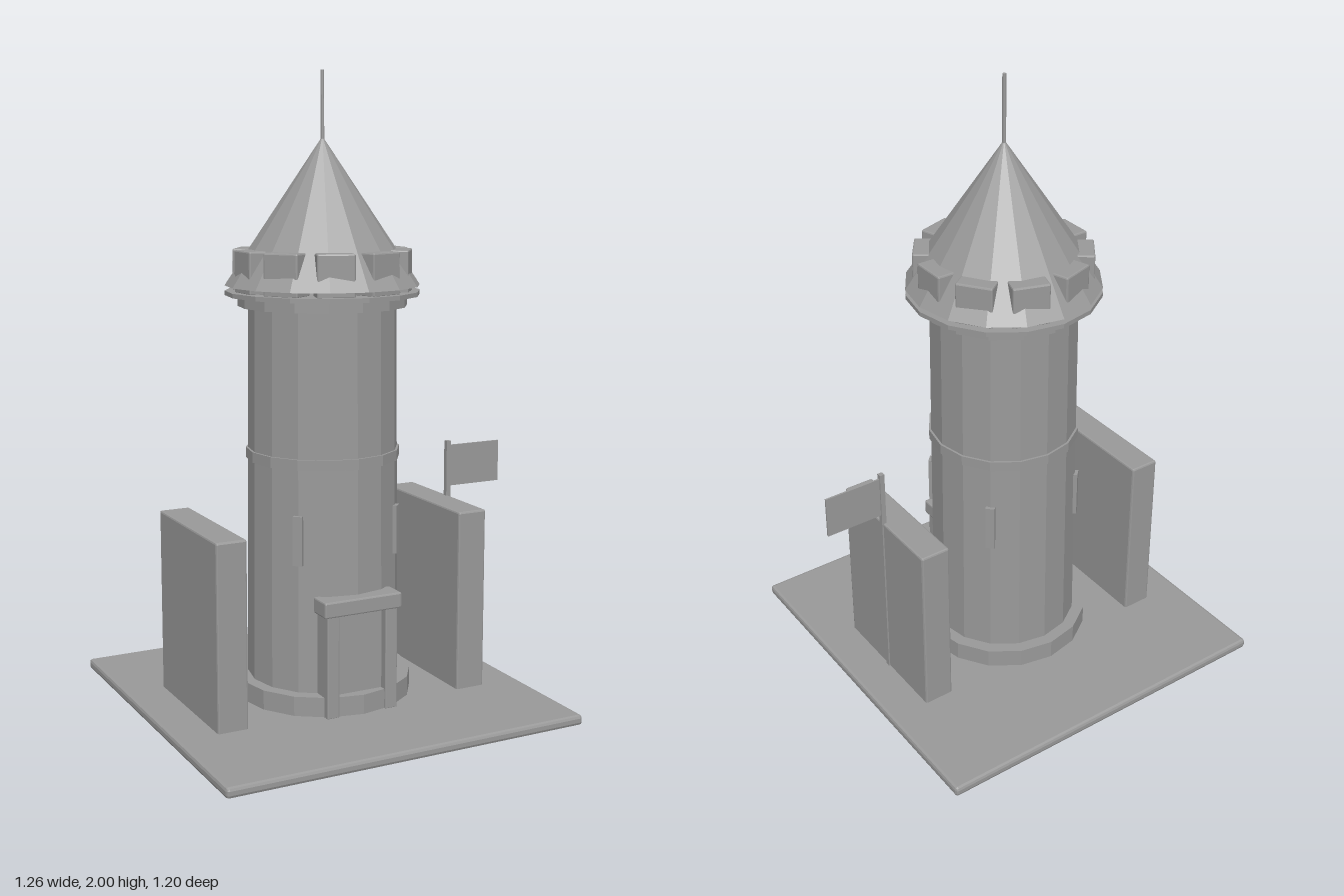
import * as THREE from 'three';
import { RoundedBoxGeometry } from 'three/addons/geometries/RoundedBoxGeometry.js';

export function createModel() {
  const model = new THREE.Group();
  model.name = 'watchtower';

  const stone = new THREE.MeshStandardMaterial({ color: 0x999999 });
  stone.name = 'grey stone';
  stone.flatShading = true;

  const add = (name, geometry, parent, x = 0, y = 0, z = 0) => {
    const mesh = new THREE.Mesh(geometry, stone);
    mesh.name = name;
    mesh.position.set(x, y, z);
    parent.add(mesh);
    return mesh;
  };
  // Box given by its extents along each axis, with an optional bevel
  const box = (name, parent, [x0, x1], [y0, y1], [z0, z1], bevel = 0) => {
    const size = [x1 - x0, y1 - y0, z1 - z0];
    const geometry = bevel ? new RoundedBoxGeometry(...size, 1, bevel) : new THREE.BoxGeometry(...size);
    return add(name, geometry, parent, (x0 + x1) / 2, (y0 + y1) / 2, (z0 + z1) / 2);
  };

  // Ground slab and the two side walls
  box('groundSlab', model, [-0.63, 0.565], [0, 0.033], [-0.6, 0.6], 0.01);
  box('rightWall', model, [-0.5, -0.4], [0.025, 0.62], [-0.232, 0.232], 0.006);
  box('leftWall', model, [0.335, 0.435], [0.025, 0.62], [-0.232, 0.232], 0.006);

  // Flag on the left wall
  box('flagPole', model, [0.424, 0.44], [0.03, 0.805], [-0.008, 0.008]);
  box('flag', model, [0.44, 0.63], [0.652, 0.79], [-0.003, 0.003]);

  // Round tower, stacked from sixteen-sided drums
  const tower = new THREE.Group();
  tower.name = 'tower';
  tower.position.x = -0.033;
  model.add(tower);
  const drum = (name, y0, y1, r0, r1 = r0, sides = 16) =>
    add(name, new THREE.CylinderGeometry(r1, r0, y1 - y0, sides), tower, 0, (y0 + y1) / 2, 0);

  drum('plinth', 0.03, 0.095, 0.283);
  drum('towerBody', 0.03, 1.29, 0.244, 0.233);
  drum('beltRing', 0.797, 0.83, 0.244);
  drum('collar', 1.278, 1.313, 0.266);
  drum('battlementDeck', 1.312, 1.326, 0.306);
  drum('roof', 1.342, 1.8, 0.306, 0);
  drum('spire', 1.78, 2, 0.006, 0.006, 8);

  // Ten merlons around the foot of the roof
  for (let i = 0; i < 10; i++) {
    const pivot = new THREE.Group();
    pivot.name = 'merlon';
    pivot.rotation.y = (i * Math.PI) / 5;
    tower.add(pivot);
    box('merlonBlock', pivot, [0.195, 0.275], [1.322, 1.455], [-0.058, 0.058], 0.005);
  }

  // Four arrow slits on the diagonals
  for (let i = 0; i < 4; i++) {
    const pivot = new THREE.Group();
    pivot.name = 'arrowSlit';
    pivot.rotation.y = Math.PI / 4 + (i * Math.PI) / 2;
    tower.add(pivot);
    box('slitPanel', pivot, [-0.015, 0.015], [0.5, 0.655], [0.225, 0.249]);
  }

  // Doorway with posts and lintel
  const doorway = new THREE.Group();
  doorway.name = 'doorway';
  tower.add(doorway);
  box('door', doorway, [-0.08, 0.08], [0.03, 0.345], [0.2, 0.247]);
  for (const side of [-1, 1]) {
    const post = box('doorPost', doorway, [0.08, 0.122], [0.03, 0.36], [0.2, 0.274], 0.004);
    post.position.x *= side;
  }
  box('lintel', doorway, [-0.133, 0.133], [0.354, 0.404], [0.2, 0.281], 0.005);

  return model;
}
